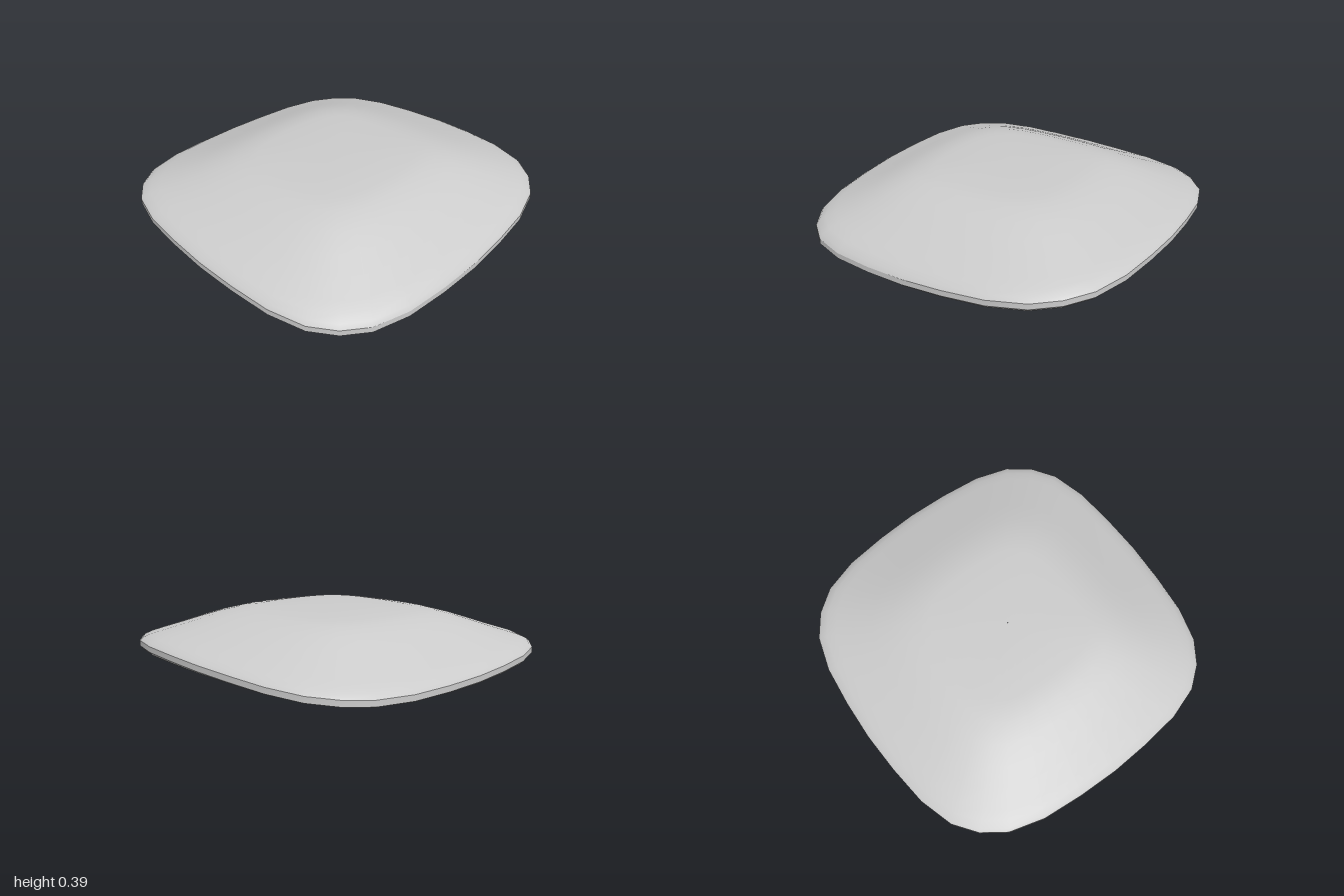
import * as THREE from 'three';

// One eighth of the rounded-square outline, mirrored to the full loop.
const EIGHTH = [[1, 0], [0.99, 0.24], [0.965, 0.48], [0.905, 0.68], [0.81, 0.81]];

function makeOutline() {
  const quarter = [...EIGHTH, ...EIGHTH.slice(1, 4).reverse().map(([a, b]) => [b, a])];
  const loop = [];
  for (let q = 0; q < 4; q++) {
    for (const [a, b] of quarter) {
      loop.push([[a, b], [-b, a], [-a, -b], [b, -a]][q]);
    }
  }
  return loop;
}

// Twisted rim height, domed top and gently tilted underside.
const rimY = (x, z) => 0.14 + 0.03 * x - 0.01 * z + 0.05 * x * z + 0.02 * x * x - 0.02 * z * z;
const topY = (x, z) => 0.389 + 0.012 * x + 0.015 * z;
const bottomY = (x, z) => 0.022 + 0.042 * x - 0.018 * z + 0.03 * x * x;
const HALF_BAND = 0.016;

// [fraction of outline, blend from rim height to dome or underside]
const TOP = [[1, 0], [0.985, 0.08], [0.95, 0.17], [0.9, 0.26], [0.8, 0.43], [0.7, 0.61],
  [0.6, 0.78], [0.5, 0.91], [0.4, 0.97], [0.2, 1], [0.001, 1]];
const BOTTOM = [[0.001, 1], [0.25, 1], [0.5, 0.97], [0.7, 0.89], [0.8, 0.78],
  [0.9, 0.55], [0.95, 0.37], [0.985, 0.17], [1, 0]];

// Skins a stack of closed rings with smooth normals.
function skin(name, rings, material) {
  const n = rings[0].length;
  const index = [];
  for (let j = 0; j < rings.length - 1; j++) {
    for (let i = 0; i < n; i++) {
      const k = (i + 1) % n;
      const a = j * n + i, b = j * n + k, c = a + n, d = b + n;
      index.push(a, c, b, b, c, d);
    }
  }
  const geometry = new THREE.BufferGeometry();
  geometry.setAttribute('position', new THREE.Float32BufferAttribute(rings.flat(2), 3));
  geometry.setIndex(index);
  geometry.computeVertexNormals();
  const mesh = new THREE.Mesh(geometry, material);
  mesh.name = name;
  return mesh;
}

export function createModel() {
  const group = new THREE.Group();
  group.name = 'cushionStone';
  const material = new THREE.MeshStandardMaterial({ color: 0xcccccc });
  const outline = makeOutline();

  const makeRings = (profile, offset, target) => profile.map(([s, f]) =>
    outline.map(([x, z]) => {
      const rim = rimY(x, z) + offset;
      return [x * s, THREE.MathUtils.lerp(rim, target(x * s, z * s), f), z * s];
    }));

  const top = makeRings(TOP, HALF_BAND, topY);
  const bottom = makeRings(BOTTOM, -HALF_BAND, bottomY);

  // Domed top, narrow rim band and shallow underside meet at sharp edges.
  group.add(skin('domedTop', top, material));
  group.add(skin('rimBand', [bottom[bottom.length - 1], top[0]], material));
  group.add(skin('underside', bottom, material));
  return group;
}
